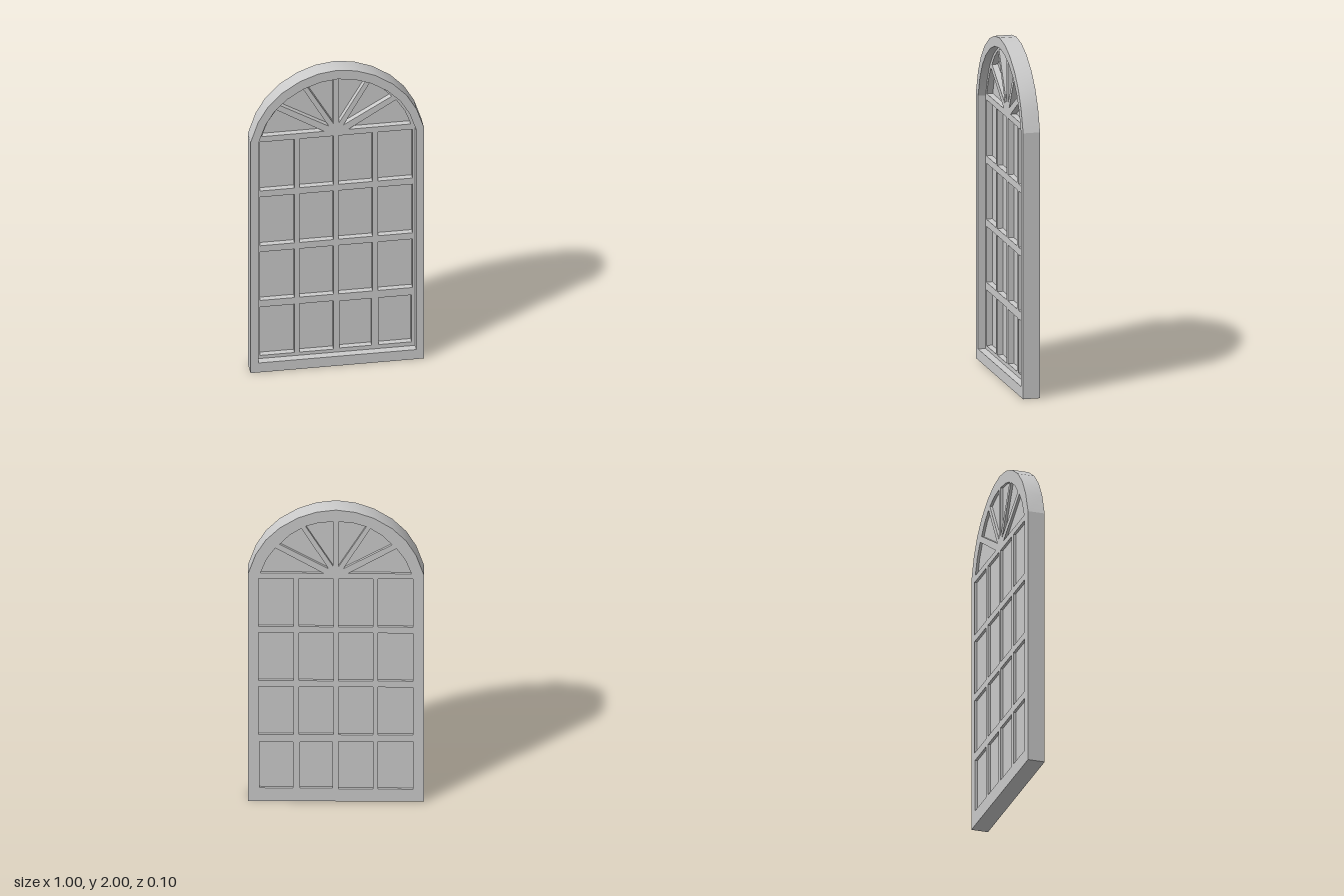
import * as THREE from 'three';
import { toCreasedNormals } from 'three/addons/utils/BufferGeometryUtils.js';

const material = new THREE.MeshStandardMaterial({ color: 0xcccccc });

// right half of the arch, from spring point to crown
const ARCH = [[0.5, 1.56], [0.457, 1.69], [0.4, 1.79], [0.32, 1.875], [0.215, 1.945], [0.11, 1.985], [0, 2]];

const mirror = (points) => points.map(([x, y]) => [-x, y]).reverse();
const toVectors = (points) => points.map(([x, y]) => new THREE.Vector2(x, y));

// arched outline with a given half width, sill, spring and crown height
function archOutline(halfWidth, sill, spring, crown) {
  const right = ARCH.map(([x, y]) => [x / 0.5 * halfWidth, spring + (y - 1.56) / 0.44 * (crown - spring)]);
  return [[-halfWidth, sill], [halfWidth, sill], ...right, ...mirror(right).slice(1)];
}

// flat part with openings, between two depths
function slab(name, outline, openings, back, front) {
  const shape = new THREE.Shape(toVectors(outline));
  for (const o of openings) shape.holes.push(new THREE.Path(toVectors(o)));
  const geometry = new THREE.ExtrudeGeometry(shape, { depth: front - back, bevelEnabled: false });
  geometry.translate(0, 0, back);
  const mesh = new THREE.Mesh(toCreasedNormals(geometry, 0.3), material);
  mesh.name = name;
  return mesh;
}

// rectangular pane openings
function gridOpenings() {
  const columns = [[-0.44, -0.24], [-0.21, -0.015], [0.015, 0.21], [0.24, 0.44]];
  const rows = [[0.085, 0.412], [0.457, 0.785], [0.827, 1.156], [1.198, 1.528]];
  const openings = [];
  rows.forEach(([y0, y1], r) => columns.forEach(([x0, x1], c) => {
    // the two lower right panes are a touch smaller
    const d = r === 0 && c > 1 ? 0.005 : 0;
    openings.push([[x0 + d, y0 + d], [x1 - d, y0 + d], [x1 - d, y1 - d], [x0 + d, y1 - d]]);
  }));
  return openings;
}

// fan of wedge-shaped openings under the arch
function fanOpenings() {
  const half = [
    [[0.07, 1.565], [0.43, 1.565], [0.395, 1.66], [0.345, 1.737]],
    [[0.042, 1.597], [0.32, 1.763], [0.265, 1.825], [0.197, 1.873]],
    [[0.016, 1.613], [0.173, 1.887], [0.1, 1.911], [0.016, 1.92]],
  ];
  return [...half, ...half.map(mirror)];
}

export function createModel() {
  const model = new THREE.Group();
  model.name = 'archedWindow';

  const outer = archOutline(0.5, 0, 1.56, 2);
  const inner = archOutline(0.455, 0.064, 1.55, 1.94);

  // outer frame at full depth
  model.add(slab('frame', outer, [inner], -0.05, 0.05));
  // glazing bars, set back at the front and flush at the back
  model.add(slab('glazingBars', inner, [...gridOpenings(), ...fanOpenings()], -0.05, 0.005));
  // glass sheet held inside the bars
  model.add(slab('glass', archOutline(0.45, 0.07, 1.55, 1.935), [], -0.035, -0.03));
  return model;
}
